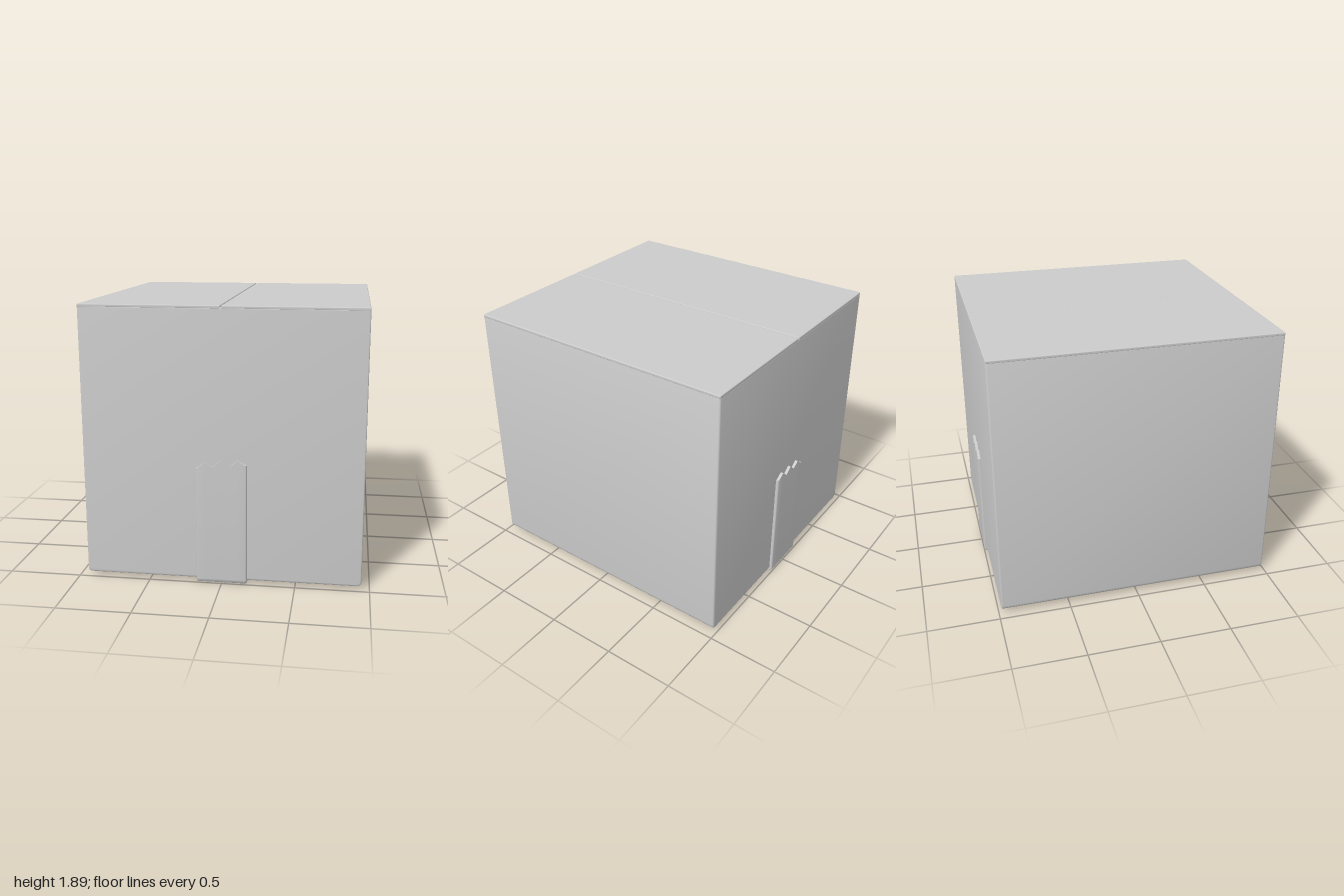
import * as THREE from 'three';
import { toCreasedNormals } from 'three/addons/utils/BufferGeometryUtils.js';
import { RoundedBoxGeometry } from 'three/addons/geometries/RoundedBoxGeometry.js';

const material = new THREE.MeshStandardMaterial({ color: 0xcccccc });

function addMesh(group, name, geometry) {
  const mesh = new THREE.Mesh(geometry, material);
  mesh.name = name;
  group.add(mesh);
  return mesh;
}

// Extrudes a shape to a total depth centred on z = 0, with softened ends
function softExtrude(shape, depth, bevel, steps) {
  const geo = new THREE.ExtrudeGeometry(shape, {
    depth: depth - 2 * bevel, steps, curveSegments: 5,
    bevelEnabled: true, bevelThickness: bevel, bevelSize: bevel, bevelOffset: -bevel, bevelSegments: 3,
  });
  return geo.translate(0, 0, -(depth - 2 * bevel) / 2);
}

// Carton walls: rounder corners along the bottom, tight ones at the top
function cartonGeometry() {
  const w = 0.945, bottom = 0.025, top = 1.88, rb = 0.035, rt = 0.016;
  const s = new THREE.Shape();
  s.moveTo(-w + rb, bottom);
  s.lineTo(w - rb, bottom);
  s.quadraticCurveTo(w, bottom, w, bottom + rb);
  s.lineTo(w, top - rt);
  s.quadraticCurveTo(w, top, w - rt, top);
  s.lineTo(-w + rt, top);
  s.quadraticCurveTo(-w, top, -w, top - rt);
  s.lineTo(-w, bottom + rb);
  s.quadraticCurveTo(-w, bottom, -w + rb, bottom);
  return toCreasedNormals(softExtrude(s, 1.96, 0.012, 1), 0.7);
}

// Tape: a U-shaped strip under the carton, with torn zigzag ends
function tapeGeometry() {
  const z = 1, inner = 0.94, top = 0.85, r = 0.03, width = 0.344;
  const s = new THREE.Shape();
  s.moveTo(-z + r, 0);
  s.lineTo(z - r, 0);
  s.quadraticCurveTo(z, 0, z, r);
  s.lineTo(z, top);
  s.lineTo(inner, top);
  s.lineTo(inner, 0.06);
  s.lineTo(-inner, 0.06);
  s.lineTo(-inner, top);
  s.lineTo(-z, top);
  s.lineTo(-z, r);
  s.quadraticCurveTo(-z, 0, -z + r, 0);
  const geo = softExtrude(s, width, 0.01, 6).rotateY(-Math.PI / 2);

  const torn = [0.815, 0.86, 0.825, 0.873, 0.83, 0.877, 0.845];
  const pos = geo.attributes.position;
  for (let i = 0; i < pos.count; i++) {
    if (pos.getY(i) < 0.75) continue;
    pos.setY(i, torn[Math.round((pos.getX(i) / width + 0.5) * 6)]);
  }
  return toCreasedNormals(geo, 0.7);
}

export function createModel() {
  const group = new THREE.Group();
  group.name = 'cardboardBox';
  addMesh(group, 'carton', cartonGeometry());

  // Two lid flaps meeting at a narrow centre seam
  const gap = 0.006, flapWidth = 0.945 - gap / 2;
  for (const side of [-1, 1]) {
    const flap = addMesh(group, side > 0 ? 'leftFlap' : 'rightFlap',
      new RoundedBoxGeometry(flapWidth, 0.022, 1.96, 2, 0.007));
    flap.position.set(side * (gap / 2 + flapWidth / 2), 1.879, 0);
  }

  addMesh(group, 'tape', tapeGeometry());
  return group;
}
